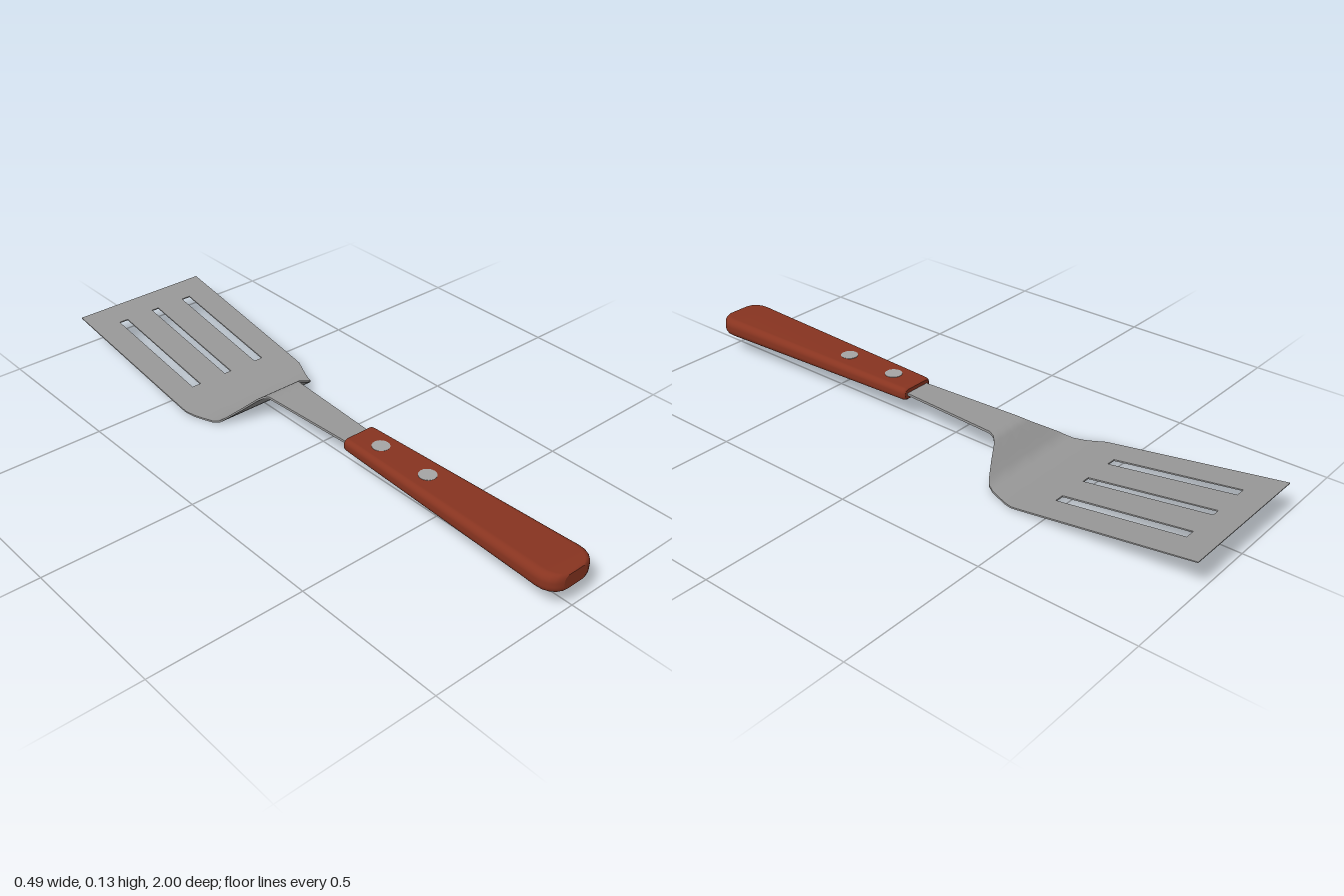
import * as THREE from 'three';
import { mergeGeometries } from 'three/addons/utils/BufferGeometryUtils.js';

function indexed(points, faces) {
  const g = new THREE.BufferGeometry();
  g.setAttribute('position', new THREE.Float32BufferAttribute(points.flat(), 3));
  g.setIndex(faces);
  g.computeVertexNormals();
  return g.toNonIndexed();
}

// Bent sheet of steel: stations of [z, half width, top y, thickness]
function sheetGeometry() {
  const stations = [
    [0.22, 0.044, 0.1, 0.008], [0.16, 0.045, 0.1, 0.008], [-0.15, 0.062, 0.1, 0.008],
    [-0.185, 0.064, 0.1, 0.008], [-0.205, 0.071, 0.095, 0.008], [-0.22, 0.086, 0.084, 0.008],
    [-0.245, 0.13, 0.055, 0.008], [-0.27, 0.17, 0.028, 0.007], [-0.285, 0.188, 0.014, 0.007],
    [-0.305, 0.198, 0.007, 0.006], [-0.34, 0.211, 0.006, 0.006], [-0.37, 0.224, 0.008, 0.006],
    [-0.4, 0.235, 0.012, 0.005], [-0.43, 0.236, 0.0165, 0.005], [-0.49, 0.237, 0.026, 0.005],
    [-0.91, 0.242, 0.092, 0.004], [-1, 0.243, 0.106, 0.003],
  ];
  const columns = [-1, -0.61, -0.475, -0.055, 0.055, 0.475, 0.61, 1];
  const n = columns.length;
  const slotRow = stations.findIndex((s) => s[0] === -0.49);
  const solid = (i, j) => i >= 0 && i < n - 1 && j >= 0 && j < stations.length - 1
    && !(j === slotRow && i % 2 === 1);

  const top = [], bottom = [];
  for (const [z, w, y, t] of stations) {
    for (const c of columns) {
      top.push([c * w, y, z]);
      bottom.push([c * w, y - t, z]);
    }
  }
  const up = [], down = [], wallPoints = [], wallFaces = [];
  const wall = (p, q) => {
    const k = wallPoints.length;
    wallPoints.push(bottom[p], bottom[q], top[q], top[p]);
    wallFaces.push(k, k + 1, k + 2, k, k + 2, k + 3);
  };
  for (let j = 0; j < stations.length - 1; j++) {
    for (let i = 0; i < n - 1; i++) {
      if (!solid(i, j)) continue;
      const a = j * n + i, b = a + 1, d = a + n, c = d + 1;
      up.push(a, b, c, a, c, d);
      down.push(a, c, b, a, d, c);
      // rim of the sheet and of the slots
      if (!solid(i, j - 1)) wall(a, b);
      if (!solid(i + 1, j)) wall(b, c);
      if (!solid(i, j + 1)) wall(c, d);
      if (!solid(i - 1, j)) wall(d, a);
    }
  }
  return mergeGeometries([indexed(top, up), indexed(bottom, down), indexed(wallPoints, wallFaces)]);
}

// Handle: rounded-rectangle sections of [z, half width, half height]
function handleGeometry(cy) {
  const sections = [
    [0.16, 0.054, 0.016], [0.163, 0.059, 0.019], [0.17, 0.061, 0.021], [0.19, 0.062, 0.0214],
    [0.9, 0.088, 0.0305], [0.935, 0.09, 0.031], [0.958, 0.088, 0.031], [0.975, 0.081, 0.0305],
    [0.988, 0.07, 0.029], [0.996, 0.057, 0.027], [1, 0.044, 0.023],
  ];
  const steps = 6, n = 4 * (steps + 1);
  const points = [], faces = [];
  for (const [z, w, h] of sections) {
    const r = h * 0.8;
    for (let q = 0; q < 4; q++) {
      const sx = q === 0 || q === 3 ? 1 : -1, sy = q < 2 ? 1 : -1;
      for (let s = 0; s <= steps; s++) {
        const a = (q + s / steps) * Math.PI / 2;
        points.push([sx * (w - r) + r * Math.cos(a), cy + sy * (h - r) + r * Math.sin(a), z]);
      }
    }
  }
  for (let j = 0; j < sections.length - 1; j++) {
    for (let i = 0; i < n; i++) {
      const a = j * n + i, b = j * n + (i + 1) % n;
      faces.push(a, b, b + n, a, b + n, a + n);
    }
  }
  // flat ends
  const cap = (start, flip) => {
    const f = [];
    for (let i = 1; i < n - 1; i++) f.push(0, flip ? i + 1 : i, flip ? i : i + 1);
    return indexed(points.slice(start, start + n), f);
  };
  return mergeGeometries([indexed(points, faces), cap(0, true), cap(points.length - n, false)]);
}

export function createModel() {
  const steel = new THREE.MeshStandardMaterial({ color: 0x999999 });
  const wood = new THREE.MeshStandardMaterial({ color: 0x883420 });
  const rivetSteel = new THREE.MeshStandardMaterial({ color: 0xa6a6a6 });
  steel.name = 'steel';
  wood.name = 'redWood';
  rivetSteel.name = 'rivetSteel';

  const model = new THREE.Group();
  model.name = 'slottedTurner';
  const add = (name, geometry, material) => {
    const mesh = new THREE.Mesh(geometry, material);
    mesh.name = name;
    model.add(mesh);
    return mesh;
  };

  const cy = 0.096;
  add('bladeAndShaft', sheetGeometry(), steel);
  add('handle', handleGeometry(cy), wood);

  // Rivets run right through the handle, showing on both faces
  for (const z of [0.26, 0.455]) {
    const halfHeight = 0.0214 + 0.0091 * (z - 0.19) / 0.71 + 0.001;
    const rivet = add('rivet', new THREE.CylinderGeometry(0.028, 0.028, 2 * halfHeight, 20), rivetSteel);
    rivet.position.set(0, cy, z);
  }
  return model;
}
